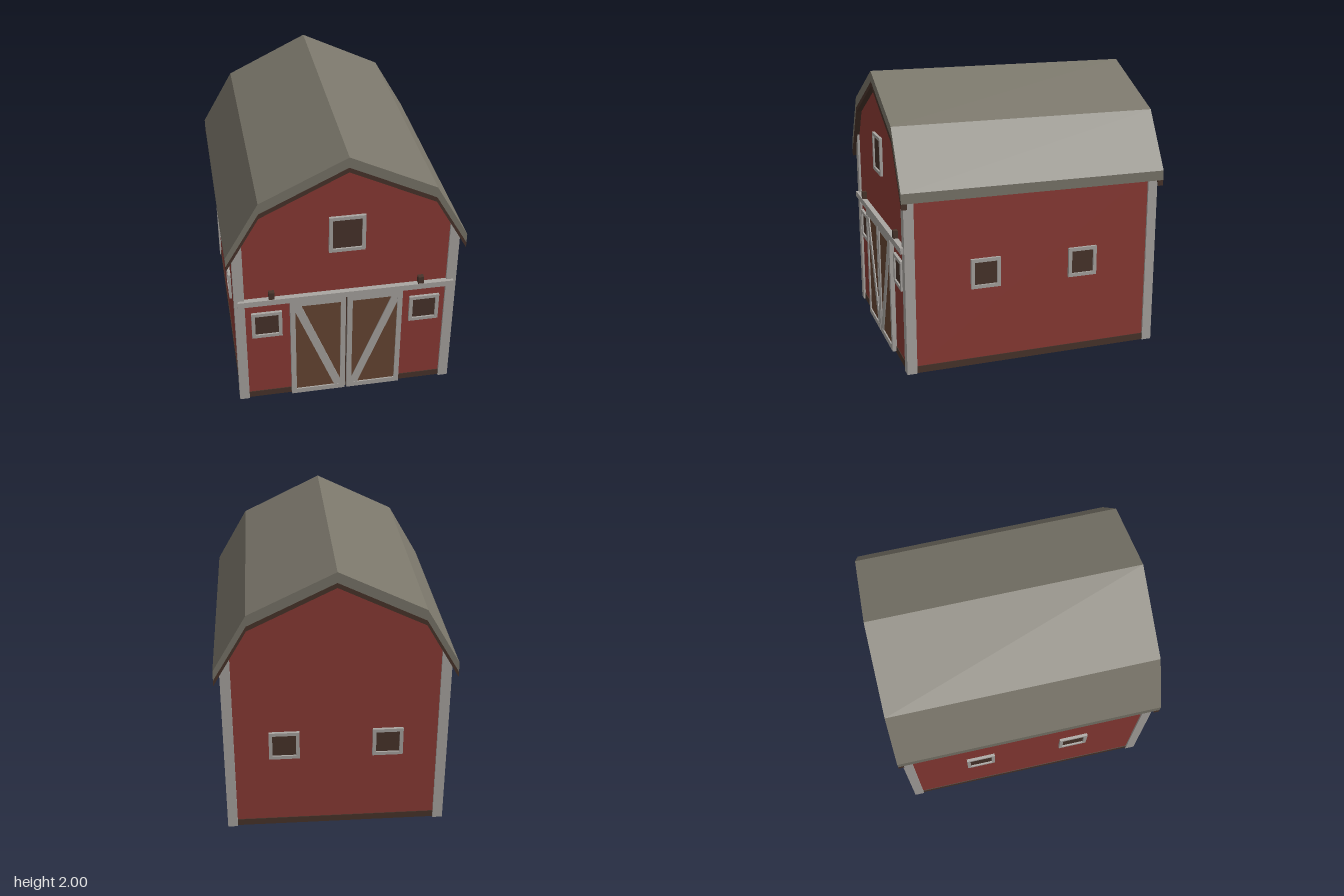
import * as THREE from 'three';

const mat = (name, color, side = THREE.FrontSide) => {
  const m = new THREE.MeshStandardMaterial({ color, side });
  m.name = name;
  return m;
};

export function createModel() {
  const red = mat('barn red', 0x8c3b35);
  const trim = mat('pale trim', 0xaaa6a2);
  const roofGrey = mat('roof grey', 0x7a766a);
  const doorBrown = mat('door brown', 0x684733);
  const dark = mat('dark brown', 0x49342b);

  const barn = new THREE.Group();
  barn.name = 'barn';

  const add = (parent, name, geometry, material, x = 0, y = 0, z = 0) => {
    const mesh = new THREE.Mesh(geometry, material);
    mesh.name = name;
    mesh.position.set(x, y, z);
    parent.add(mesh);
    return mesh;
  };
  const box = (parent, name, material, w, h, d, x, y, z) =>
    add(parent, name, new THREE.BoxGeometry(w, h, d), material, x, y, z);
  const poly = (pts) => new THREE.Shape(pts.map(([x, y]) => new THREE.Vector2(x, y)));
  const extrude = (shape, depth) =>
    new THREE.ExtrudeGeometry(shape, { depth, bevelEnabled: false });
  const rect = (w, h) => [[-w / 2, -h / 2], [w / 2, -h / 2], [w / 2, h / 2], [-w / 2, h / 2]];
  const frame = (w, h, bx, by, depth) => {
    const shape = poly(rect(w, h));
    shape.holes.push(poly(rect(w - 2 * bx, h - 2 * by)));
    return extrude(shape, depth);
  };

  // Gambrel profile, given as half a line from eave to ridge
  const WX = 0.77, WZ = 0.92, RZ = 0.96;
  const outer = [[0.825, 1.31], [0.593, 1.712], [0, 2]];
  const under = [[0.825, 1.24], [0.593, 1.635], [0, 1.925]];
  const rakeLow = [[0.825, 1.2], [0.593, 1.6], [0, 1.89]];
  const mirrored = (half) =>
    [...half, ...half.slice(0, -1).reverse().map(([x, y]) => [-x, y])];
  const band = (top, bottom) => poly([...mirrored(top), ...mirrored(bottom).reverse()]);

  // Walls, floor and plinth
  const wallShape = poly(mirrored([[WX, 0.006], [WX, 1.334], [0.593, 1.635], [0, 1.925]]));
  add(barn, 'walls', extrude(wallShape, 2 * WZ), red, 0, 0, -WZ);
  box(barn, 'floor', dark, 1.4, 0.02, 1.7, 0, 0.012, 0);
  const plinth = add(barn, 'plinth', frame(1.55, 1.85, 0.01, 0.01, 0.05), dark);
  plinth.rotation.x = -Math.PI / 2;

  // Roof slab and the boards below its gable edges
  add(barn, 'roof', extrude(band(outer, under), 2 * RZ), roofGrey, 0, 0, -RZ);
  for (const z of [WZ, -RZ])
    add(barn, 'rakeBoard', extrude(band(under, rakeLow), RZ - WZ), dark, 0, 0, z);

  // Corner posts, cut to the roof slope
  for (const s of [1, -1]) {
    const pts = [[0.712, 0], [0.783, 0], [0.783, 1.311], [0.712, 1.432]].map(([x, y]) => [s * x, y]);
    for (const z of [0.866, -0.937])
      add(barn, 'cornerPost', extrude(poly(pts), 0.071), trim, 0, 0, z);
  }

  // Windows: a frame around a thin dark pane
  const addWindow = (x, y, z, turn, w = 0.215, h = 0.215) => {
    const win = new THREE.Group();
    win.name = 'window';
    add(win, 'windowFrame', frame(w, h, 0.025, 0.025, 0.02), trim);
    box(win, 'windowPane', dark, w - 0.05, h - 0.05, 0.008, 0, 0, 0.004);
    win.position.set(x, y, z);
    win.rotation.y = turn;
    barn.add(win);
  };
  addWindow(0, 1.395, WZ, 0, 0.25, 0.28);
  for (const s of [1, -1]) {
    addWindow(s * 0.563, 0.682, WZ, 0);
    addWindow(s * 0.363, 0.682, -WZ, Math.PI);
    for (const z of [0.363, -0.363]) addWindow(s * WX, 0.682, z, s * Math.PI / 2);
  }

  // Sliding doors with a diagonal brace, hung from a rail
  for (const s of [1, -1]) {
    const door = new THREE.Group();
    door.name = s > 0 ? 'leftDoor' : 'rightDoor';
    const w = 0.394, h = 0.86;
    box(door, 'doorPanel', doorBrown, w - 0.01, h - 0.01, 0.022, 0, 0, 0.011);
    add(door, 'doorFrame', frame(w, h, 0.036, 0.04, 0.032), trim);
    const brace = [[-0.161, -0.39], [-0.118, -0.39], [0.161, 0.34], [0.161, 0.39], [0.118, 0.39], [-0.161, -0.34]]
      .map(([x, y]) => [s * x, y]);
    add(door, 'doorBrace', extrude(poly(brace), 0.03), trim);
    door.position.set(s * 0.203, 0.44, WZ);
    barn.add(door);
    box(barn, 'railHanger', dark, 0.04, 0.075, 0.034, s * 0.525, 0.936, 0.937);
  }
  box(barn, 'doorGap', dark, 0.02, 0.86, 0.008, 0, 0.44, 0.924);
  box(barn, 'doorRail', trim, 1.52, 0.044, 0.038, 0, 0.896, 0.939);

  return barn;
}
